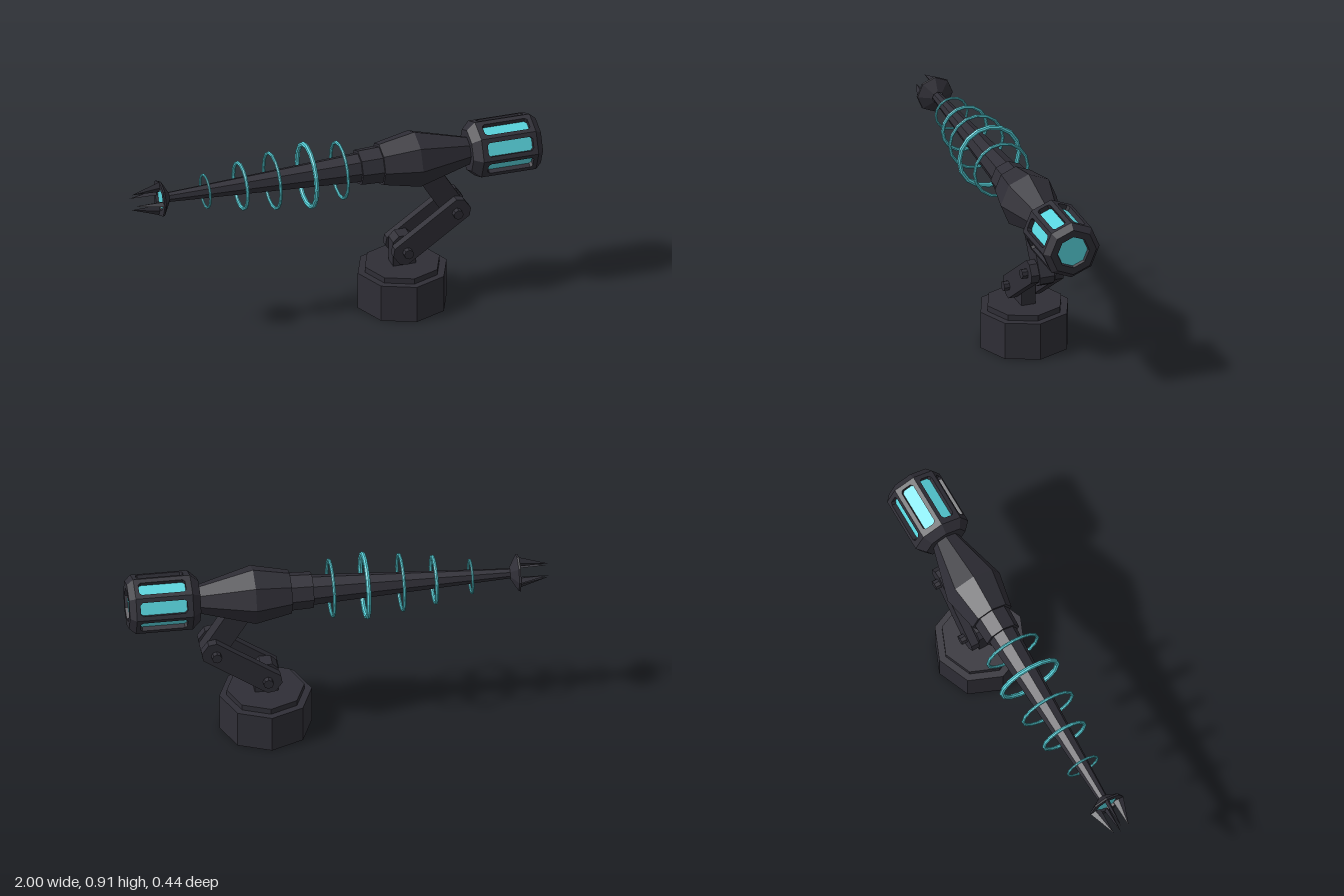
import * as THREE from 'three';

const dark = new THREE.MeshStandardMaterial({ color: 0x2f2e36 });
dark.name = 'charcoal metal';
const cyan = new THREE.MeshStandardMaterial({ color: 0x58d4dd });
cyan.name = 'glowing cyan';

const AXIS_Y = 0.752;   // height of the barrel axis
const BASE_X = 0.34;

// faceted normals
function flat(geo) {
  const g = geo.index ? geo.toNonIndexed() : geo;
  g.computeVertexNormals();
  return g;
}

function part(parent, name, geo, mat) {
  const mesh = new THREE.Mesh(flat(geo), mat);
  mesh.name = name;
  parent.add(mesh);
  return mesh;
}

// eight-sided solid turned about the x axis, from [radius, x] pairs with rising x
function turned(points) {
  const g = new THREE.LatheGeometry(points.map(([r, x]) => new THREE.Vector2(r, x)), 8);
  return g.rotateZ(-Math.PI / 2);
}

// rectangle with cut corners
function cutRect(target, x0, x1, y0, y1, c) {
  target.setFromPoints([
    [x0 + c, y0], [x1 - c, y0], [x1, y0 + c], [x1, y1 - c],
    [x1 - c, y1], [x0 + c, y1], [x0, y1 - c], [x0, y0 + c],
  ].map(([x, y]) => new THREE.Vector2(x, y)));
  target.closePath();
  return target;
}

// flat bar starting at a pivot and running along an angle, centred on z
function bar(x, y, angle, length, thickness) {
  const shape = cutRect(new THREE.Shape(), -0.065, length + 0.065, -0.056, 0.056, 0.028);
  const g = new THREE.ExtrudeGeometry(shape, { depth: thickness, bevelEnabled: false });
  return g.translate(0, 0, -thickness / 2).rotateZ(angle).translate(x, y, 0);
}

export function createModel() {
  const model = new THREE.Group();
  model.name = 'mountedRayEmitter';

  // base
  const base = new THREE.Group();
  base.name = 'base';
  model.add(base);
  part(base, 'basePlinth', new THREE.CylinderGeometry(0.22, 0.22, 0.185, 8), dark)
    .position.set(BASE_X, 0.0925, 0);
  part(base, 'baseCap', new THREE.CylinderGeometry(0.185, 0.185, 0.05, 8), dark)
    .position.set(BASE_X, 0.188, 0);

  // jointed arm
  const arm = new THREE.Group();
  arm.name = 'arm';
  model.add(arm);
  const low = [BASE_X, 0.302], high = [0.585, 0.473];
  const dx = high[0] - low[0], dy = high[1] - low[1];
  part(arm, 'lowerPost', bar(...low, -Math.PI / 2, 0.09, 0.072), dark);
  part(arm, 'upperStrut', bar(...high, 2.12, 0.22, 0.072), dark);
  for (const side of [-1, 1]) {
    const plate = bar(...low, Math.atan2(dy, dx), Math.hypot(dx, dy), 0.04);
    part(arm, 'linkPlate', plate, dark).position.z = side * 0.061;
  }
  for (const [x, y] of [low, high]) {
    const pin = new THREE.CylinderGeometry(0.024, 0.024, 0.216, 8).rotateX(Math.PI / 2);
    part(arm, 'pivotPin', pin, dark).position.set(x, y, 0);
  }

  // everything on the barrel axis
  const gun = new THREE.Group();
  gun.name = 'emitter';
  gun.position.y = AXIS_Y;
  model.add(gun);
  part(gun, 'barrel', turned([[0, -0.84], [0.023, -0.84], [0.073, 0.13], [0, 0.13]]), dark);
  part(gun, 'collar', turned([[0, 0.12], [0.087, 0.12], [0.092, 0.24], [0, 0.24]]), dark);
  part(gun, 'body', turned([[0, 0.225], [0.105, 0.225], [0.141, 0.4], [0.066, 0.67], [0, 0.67]]), dark);

  // coil rings: x, outer radius, tube radius
  const rings = [
    [-0.635, 0.085, 0.006], [-0.46, 0.119, 0.009], [-0.303, 0.141, 0.008],
    [-0.131, 0.162, 0.012], [0.03, 0.142, 0.008],
  ];
  for (const [x, r, t] of rings) {
    const ring = new THREE.TorusGeometry(r - t, t, 8, 16).rotateY(Math.PI / 2);
    part(gun, 'coilRing', ring, cyan).position.x = x;
  }

  // rear power cell: bevelled ends, slotted wall panels, lit core
  const cell = new THREE.Group();
  cell.name = 'powerCell';
  gun.add(cell);
  const R = 0.142, x0 = 0.7, x1 = 0.97, depth = 0.025;
  const apothem = R * Math.cos(Math.PI / 8), half = R * Math.sin(Math.PI / 8);
  part(cell, 'cellFrontEnd', turned([[0, 0.66], [0.105, 0.66], [R, x0], [0.1, x0]]), dark);
  part(cell, 'cellRearEnd', turned([[0.1, x1], [R, x1], [0.115, 1], [0.08, 1], [0.075, 0.985]]), dark);
  part(cell, 'cellCore', turned([[0.116, x0 - 0.005], [0.116, x1 + 0.005]]), cyan);
  part(cell, 'cellRearLight', new THREE.CircleGeometry(0.077, 8).rotateY(Math.PI / 2), cyan)
    .position.x = 0.986;
  for (let i = 0; i < 8; i++) {
    const wall = cutRect(new THREE.Shape(), x0, x1, -half, half, 0);
    wall.holes.push(cutRect(new THREE.Path(), 0.727, 0.95, -0.033, 0.033, 0.011));
    const g = new THREE.ExtrudeGeometry(wall, { depth, bevelEnabled: false });
    g.translate(0, 0, apothem - depth).rotateX((i + 0.5) * Math.PI / 4);
    part(cell, 'cellWall', g, dark);
  }

  // muzzle cup with light and four prongs
  const muzzle = new THREE.Group();
  muzzle.name = 'muzzle';
  gun.add(muzzle);
  part(muzzle, 'muzzleCup', turned([
    [0.055, -0.848], [0.06, -0.864], [0.09, -0.864], [0.088, -0.855], [0.028, -0.82],
  ]), dark);
  part(muzzle, 'muzzleLight', new THREE.CircleGeometry(0.058, 8).rotateY(-Math.PI / 2), cyan)
    .position.x = -0.852;
  for (let i = 0; i < 4; i++) {
    const g = new THREE.ConeGeometry(1, 1, 4).translate(0, 0.5, 0).scale(0.027, 0.138, 0.012);
    const p = g.attributes.position;
    // lean each prong from the rim towards the axis
    for (let k = 0; k < p.count; k++) p.setX(k, p.getX(k) + 0.062 - 0.022 * p.getY(k) / 0.138);
    g.rotateZ(Math.PI / 2).translate(-0.862, 0, 0).rotateX(i * Math.PI / 2);
    part(muzzle, 'prong', g, dark);
  }

  return model;
}
